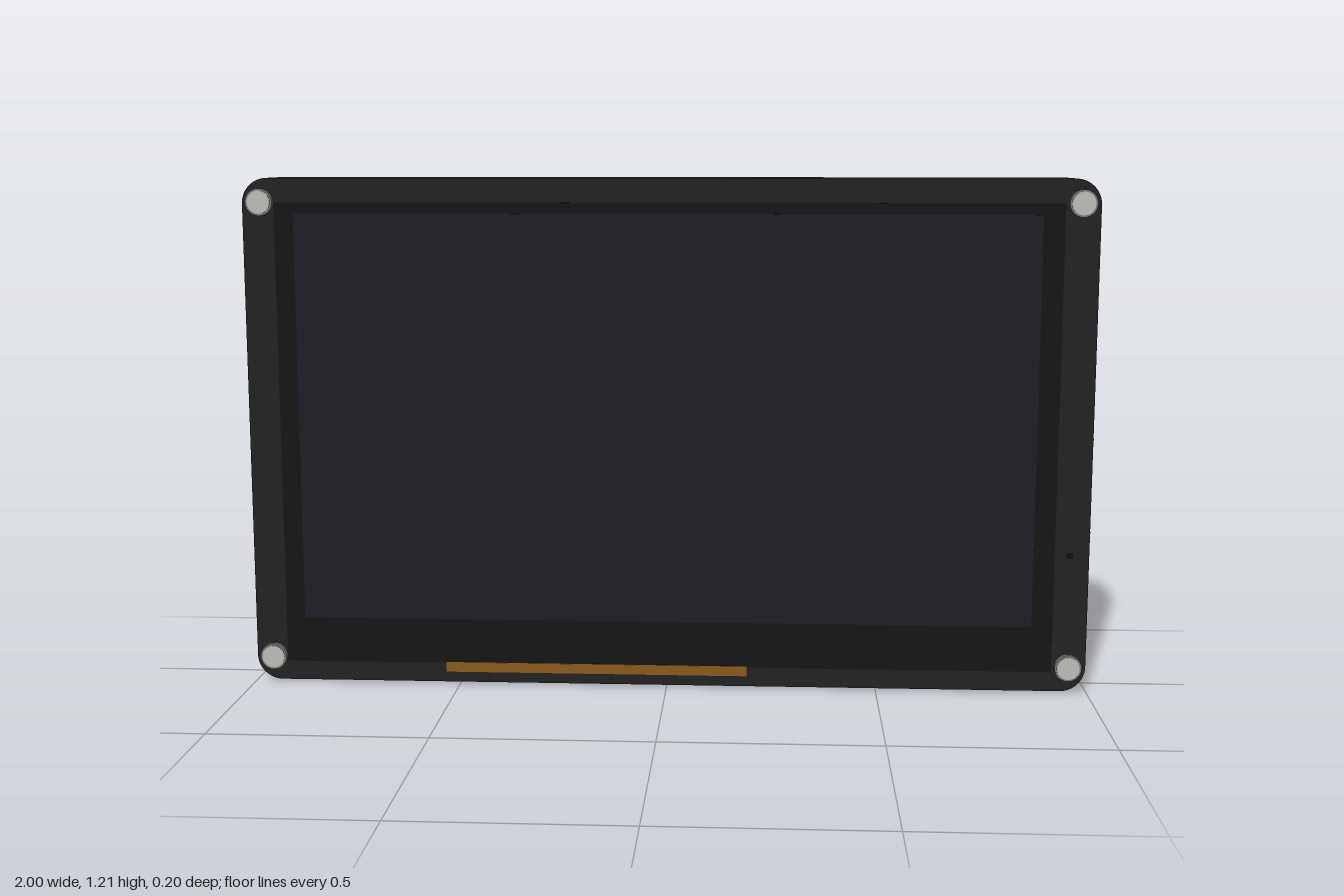
import * as THREE from 'three';

const mat = (color) => new THREE.MeshStandardMaterial({ color });
const CASE = mat(0x222222), DARK = mat(0x121212), GLASS = mat(0x151515), SCREEN = mat(0x1f1e25);
const METAL = mat(0xbdbdb8), GOLD = mat(0x8a5a1c), RUBBER = mat(0x1a1a1a), RING = mat(0x777777);

const X = 0.995, Y0 = 0.004, Y1 = 1.212, R = 0.06, BACK = -0.087, FRONT = 0.088, MID = 0.003;

function add(parent, name, geometry, material, x = 0, y = 0, z = 0) {
  const mesh = new THREE.Mesh(geometry, material);
  mesh.name = name;
  mesh.position.set(x, y, z);
  parent.add(mesh);
  return mesh;
}

const box = (w, h, d) => new THREE.BoxGeometry(w, h, d);

// Rounded outline of the case, optionally with the notch in its left edge
function outline(notched) {
  const s = new THREE.Shape();
  s.moveTo(-X + R, Y0);
  s.lineTo(X - R, Y0);
  s.absarc(X - R, Y0 + R, R, -Math.PI / 2, 0, false);
  if (notched) {
    s.lineTo(X, 0.39);
    s.lineTo(0.865, 0.39);
    s.lineTo(0.865, 0.61);
    s.lineTo(X, 0.61);
  }
  s.absarc(X - R, Y1 - R, R, 0, Math.PI / 2, false);
  s.absarc(-X + R, Y1 - R, R, Math.PI / 2, Math.PI, false);
  s.absarc(-X + R, Y0 + R, R, Math.PI, Math.PI * 1.5, false);
  return s;
}

const slab = (shape, depth) =>
  new THREE.ExtrudeGeometry(shape, { depth, bevelEnabled: false, curveSegments: 10 });

// Rectangle with corner radius r, drawn on a shape or a hole path
function rect(path, w, h, r) {
  const a = w / 2 - r, b = h / 2 - r;
  path.moveTo(-a, -h / 2);
  path.lineTo(a, -h / 2);
  path.absarc(a, -b, r, -Math.PI / 2, 0, false);
  path.absarc(a, b, r, 0, Math.PI / 2, false);
  path.absarc(-a, b, r, Math.PI / 2, Math.PI, false);
  path.absarc(-a, -b, r, Math.PI, Math.PI * 1.5, false);
  return path;
}

// Connector: thin dark rim around a metal insert, facing local +z
function port(parent, name, w, h, iw, ih, r = 0.004) {
  const g = new THREE.Group();
  g.name = name;
  const rim = rect(new THREE.Shape(), w, h, r);
  rim.holes.push(rect(new THREE.Path(), iw, ih, r));
  add(g, name + 'Rim', slab(rim, 0.005), DARK);
  add(g, name + 'Insert', slab(rect(new THREE.Shape(), iw, ih, r), 0.002), METAL);
  parent.add(g);
  return g;
}

// Disc with its axis along z
function disc(radius, depth, segments = 28) {
  return new THREE.CylinderGeometry(radius, radius, depth, segments).rotateX(Math.PI / 2);
}

export function createModel() {
  const model = new THREE.Group();
  model.name = 'touchscreenDevice';

  // Case in two layers, the rear one notched
  add(model, 'frontCase', slab(outline(false), FRONT - MID), CASE, 0, 0, MID);
  add(model, 'rearCase', slab(outline(true), MID - BACK), CASE, 0, 0, BACK);
  for (const y of [0.44, 0.503])
    add(model, 'notchPin', box(0.04, 0.032, 0.018), METAL, 0.955, y, MID - 0.009);
  for (const y of [0.39, 0.61])
    add(model, 'notchSeam', box(0.002, 0.004, FRONT - MID), DARK, X, y, (FRONT + MID) / 2);

  // Display
  add(model, 'displayGlass', box(1.835, 1.105, 0.002), GLASS, -0.003, 0.603, FRONT);
  add(model, 'screen', box(1.74, 0.97, 0.002), SCREEN, -0.005, 0.645, FRONT + 0.001);
  add(model, 'ribbonCable', box(0.725, 0.024, 0.002), GOLD, -0.17, 0.041, FRONT + 0.0015);
  add(model, 'microphoneHole', disc(0.008, 0.002, 12), DARK, 0.95, 0.333, FRONT);

  // Corner screws in front, rubber feet behind
  for (const x of [-0.953, 0.953]) {
    for (const y of [0.063, 1.156]) {
      add(model, 'screwRim', disc(0.032, 0.012), RING, x, y, FRONT + 0.006);
      add(model, 'screwHead', disc(0.027, 0.014), METAL, x, y, FRONT + 0.007);
      add(model, 'foot', disc(0.035, 0.013), RUBBER, x, y, BACK - 0.0065);
    }
    // Brass inserts
    for (const y of [0.205, 1.018])
      add(model, 'brassInsert', disc(0.017, 0.003, 20), GOLD, Math.sign(x) * 0.89, y, BACK);
  }

  // Rear connectors: x, y, rim size, insert size
  const rear = [
    [0.454, 1.118, 0.16, 0.085, 0.135, 0.058],
    [0.18, 1.118, 0.16, 0.085, 0.135, 0.058],
    [-0.1, 1.118, 0.16, 0.085, 0.135, 0.058],
    [0.539, 0.147, 0.105, 0.085, 0.064, 0.05],
    [-0.185, 0.141, 0.06, 0.058, 0.024, 0.03],
    [-0.733, 0.097, 0.17, 0.09, 0.142, 0.056],
  ];
  for (const [x, y, w, h, iw, ih] of rear) {
    const p = port(model, 'rearPort', w, h, iw, ih);
    p.position.set(x, y, BACK);
    p.rotation.y = Math.PI;
  }
  add(model, 'resetHole', disc(0.01, 0.003, 14), DARK, -0.288, 1.137, BACK);

  // Card slot at the upper back edge
  add(model, 'cardSlotCover', box(0.216, 0.17, 0.003), CASE, -0.648, 1.124, BACK);
  add(model, 'cardSlotRecess', box(0.216, 0.098, 0.003), DARK, -0.648, 0.99, BACK);
  for (const side of [-1, 1])
    add(model, 'cardSlotEdge', box(0.006, 0.266, 0.005), DARK, -0.648 + side * 0.108, 1.076, BACK);

  // Side and bottom openings
  const right = port(model, 'rightPort', 0.075, 0.13, 0.036, 0.1, 0.017);
  right.position.set(-X, 0.61, -0.03);
  right.rotation.y = -Math.PI / 2;
  const bottom = port(model, 'bottomPort', 0.19, 0.065, 0.14, 0.025);
  bottom.position.set(0.745, Y0, -0.033);
  bottom.rotation.x = Math.PI / 2;
  add(model, 'leftSlot', box(0.01, 0.23, 0.066), DARK, X, 0.86, -0.033);

  return model;
}
